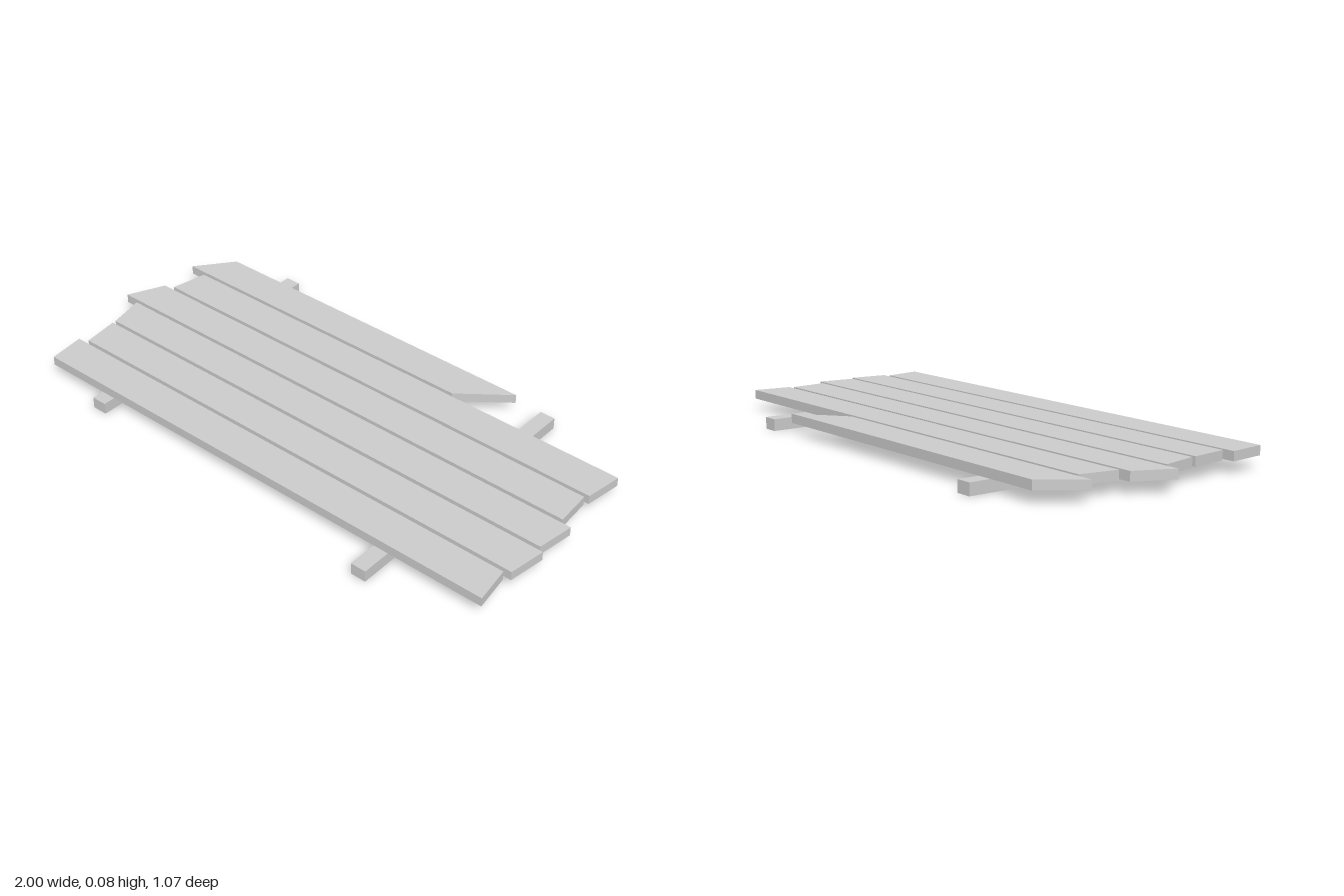
import * as THREE from 'three';

const BEAM_HEIGHT = 0.042;
const PLANK_THICKNESS = 0.033;
const PLANK_WIDTH = 0.136;
const PLANK_PITCH = 0.1503;
const FIRST_PLANK_Z = -0.459;

// Sawn plank ends, back row to front: x at the back edge (from, to), x at the front edge (from, to)
const PLANK_ENDS = [
  [-0.85, 0.47, -0.955, 0.297],
  [-0.88, 0.98, -0.905, 0.96],
  [-0.938, 0.95, -1.0, 0.96],
  [-0.936, 1.0, -0.906, 0.98],
  [-0.906, 1.0, -0.888, 0.98],
  [-0.922, 0.96, -0.906, 0.98],
];

// Cross beams: centre x, back z, front z
const BEAMS = [
  [-0.628, -0.537, 0.473],
  [0.594, -0.473, 0.537],
];

export function createModel() {
  const group = new THREE.Group();
  group.name = 'plankPlatform';
  const material = new THREE.MeshStandardMaterial({ color: 0xcccccc, flatShading: true });

  // Beams resting on the ground
  BEAMS.forEach(([x, back, front], i) => {
    const beam = new THREE.Mesh(new THREE.BoxGeometry(0.057, BEAM_HEIGHT, front - back), material);
    beam.position.set(x, BEAM_HEIGHT / 2, (back + front) / 2);
    beam.name = i === 0 ? 'rightBeam' : 'leftBeam';
    group.add(beam);
  });

  // Planks with slanted ends, laid across the beams
  PLANK_ENDS.forEach(([back0, back1, front0, front1], i) => {
    const shape = new THREE.Shape([
      new THREE.Vector2(front0, -PLANK_WIDTH),
      new THREE.Vector2(front1, -PLANK_WIDTH),
      new THREE.Vector2(back1, 0),
      new THREE.Vector2(back0, 0),
    ]);
    const geometry = new THREE.ExtrudeGeometry(shape, { depth: PLANK_THICKNESS, bevelEnabled: false });
    geometry.rotateX(-Math.PI / 2);
    const plank = new THREE.Mesh(geometry, material);
    plank.position.set(0, BEAM_HEIGHT, FIRST_PLANK_Z + i * PLANK_PITCH);
    plank.name = `plank${i + 1}`;
    group.add(plank);
  });

  return group;
}
